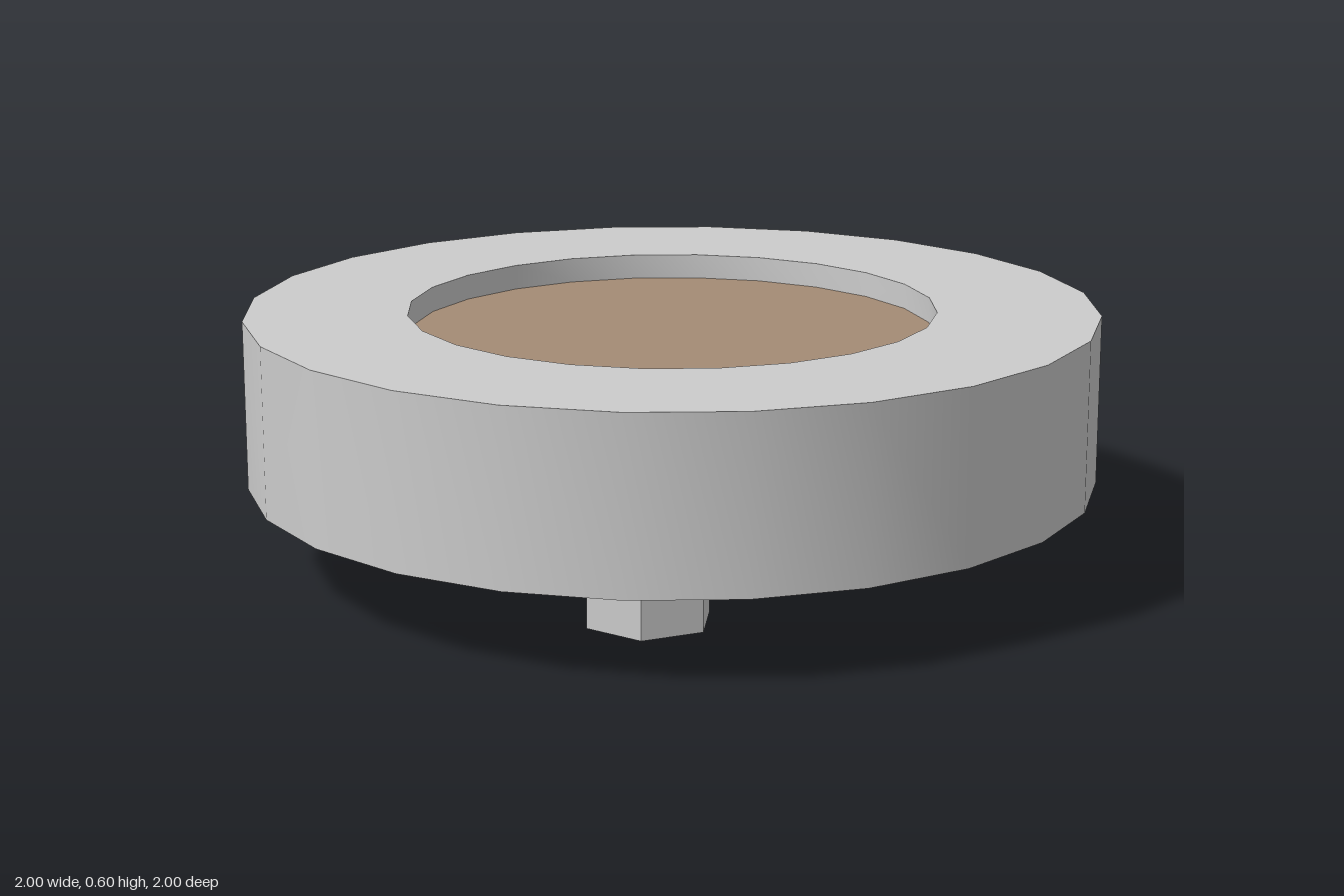
import * as THREE from 'three';
import { toCreasedNormals } from 'three/addons/utils/BufferGeometryUtils.js';

const SIDES = 24;

export function createModel() {
  const model = new THREE.Group();
  const grey = new THREE.MeshStandardMaterial({ color: 0xcccccc });
  const flatGrey = new THREE.MeshStandardMaterial({ color: 0xcccccc, flatShading: true });
  const brown = new THREE.MeshStandardMaterial({ color: 0xa48b75 });

  const add = (name, geometry, material, x, y, z) => {
    const mesh = new THREE.Mesh(geometry, material);
    mesh.name = name;
    mesh.position.set(x, y, z);
    model.add(mesh);
    return mesh;
  };

  // Thick round body: closed base, outer wall, flat rim and recess wall
  const profile = [[0, 0.2], [1, 0.2], [1, 0.6], [0.62, 0.6], [0.62, 0.54]]
    .map(([r, y]) => new THREE.Vector2(r, y));
  add('body', toCreasedNormals(new THREE.LatheGeometry(profile, SIDES), 0.6), grey, 0, 0, 0);

  // Coloured floor of the recess
  const floor = new THREE.CircleGeometry(0.62, SIDES).rotateX(-Math.PI / 2);
  add('recessFloor', floor, brown, 0, 0.54, 0);

  // Three hexagonal feet, all with a corner pointing along x
  const foot = new THREE.CylinderGeometry(0.15, 0.15, 0.2, 6).rotateY(Math.PI / 2);
  for (let i = 0; i < 3; i++) {
    const a = (i * Math.PI * 2) / 3;
    add('foot' + (i + 1), foot, flatGrey, 0.52 * Math.cos(a), 0.1, 0.52 * Math.sin(a));
  }

  return model;
}
